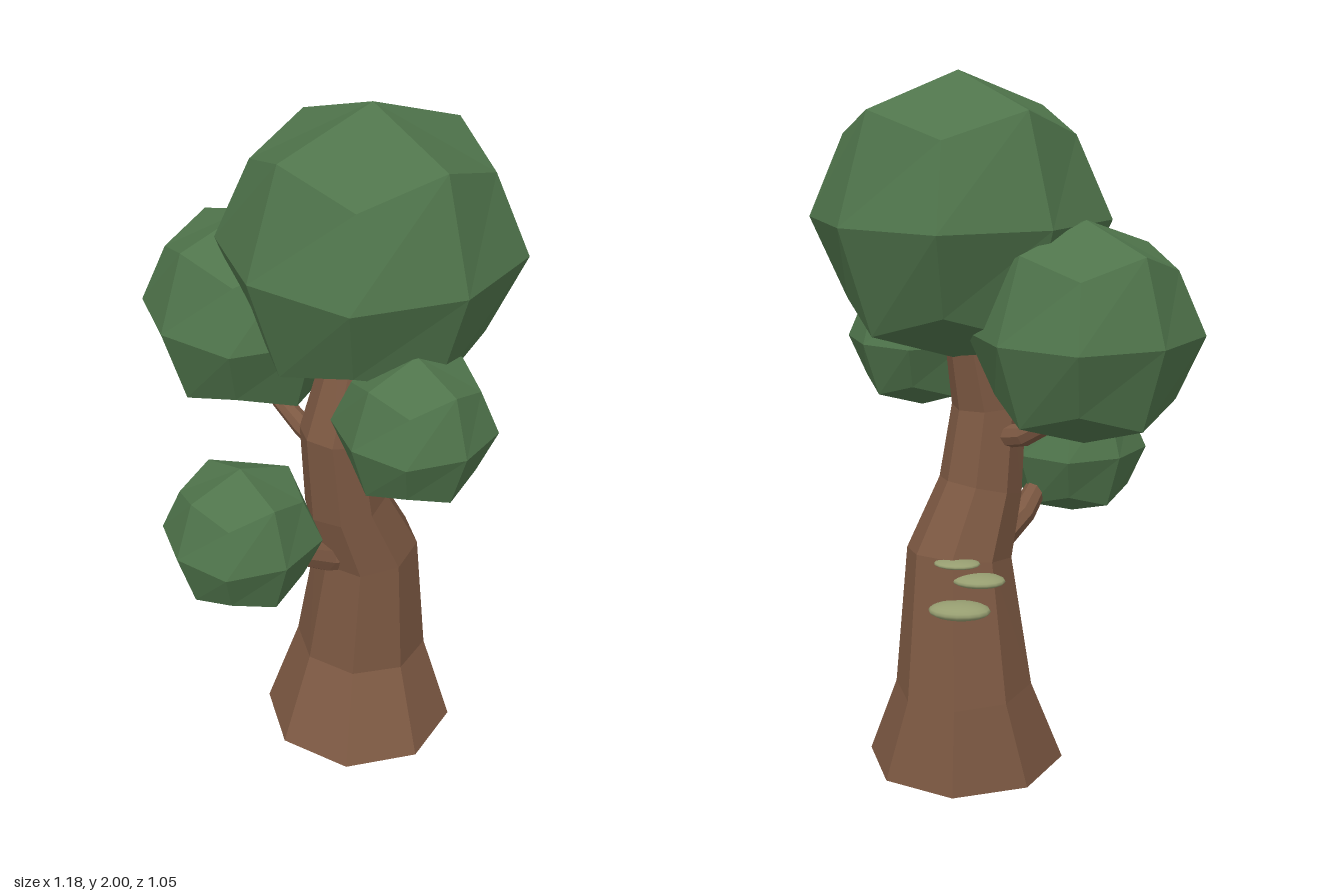
import * as THREE from 'three';

const foliage = new THREE.MeshStandardMaterial({ color: 0x4f744b, flatShading: true });
foliage.name = 'leaf green';
const bark = new THREE.MeshStandardMaterial({ color: 0x7c5842, flatShading: true, side: THREE.DoubleSide });
bark.name = 'bark brown';
const fungus = new THREE.MeshStandardMaterial({ color: 0x969d70 });
fungus.name = 'fungus olive';

// Tapered limb through rings of [x, y, z, radius]; each ring is square to the path
function limb(rings, sides, startDir, reference) {
  const centres = rings.map(([x, y, z]) => new THREE.Vector3(x, y, z));
  const positions = [];
  const indices = [];
  rings.forEach((ring, i) => {
    const before = centres[Math.max(i - 1, 0)];
    const after = centres[Math.min(i + 1, rings.length - 1)];
    const t = i === 0 ? startDir.clone().normalize() : after.clone().sub(before).normalize();
    const u = reference.clone().addScaledVector(t, -reference.dot(t)).normalize();
    const v = t.clone().cross(u);
    for (let j = 0; j < sides; j++) {
      const a = (j / sides) * Math.PI * 2;
      const p = centres[i].clone()
        .addScaledVector(u, Math.cos(a) * ring[3])
        .addScaledVector(v, Math.sin(a) * ring[3]);
      positions.push(p.x, p.y, p.z);
      if (i < rings.length - 1) {
        const k = i * sides + j;
        const n = i * sides + (j + 1) % sides;
        indices.push(k, n, k + sides, n, n + sides, k + sides);
      }
    }
  });
  const geometry = new THREE.BufferGeometry();
  geometry.setAttribute('position', new THREE.Float32BufferAttribute(positions, 3));
  geometry.setIndex(indices);
  geometry.computeVertexNormals();
  return geometry;
}

// Cube of 2 x 2 quads per side, with edges and corners pulled in to a rounded clump
function clumpGeometry() {
  const geometry = new THREE.BoxGeometry(2, 2, 2, 2, 2, 2);
  const pos = geometry.attributes.position;
  const pull = [1, 1, 0.752, 0.572];
  for (let i = 0; i < pos.count; i++) {
    const p = new THREE.Vector3().fromBufferAttribute(pos, i).round();
    p.multiplyScalar(pull[Math.abs(p.x) + Math.abs(p.y) + Math.abs(p.z)]);
    pos.setXYZ(i, p.x, p.y, p.z);
  }
  geometry.computeVertexNormals();
  return geometry;
}

export function createModel() {
  const tree = new THREE.Group();
  tree.name = 'tree';
  const add = (name, geometry, material) => {
    const mesh = new THREE.Mesh(geometry, material);
    mesh.name = name;
    tree.add(mesh);
    return mesh;
  };
  const X = new THREE.Vector3(1, 0, 0);
  const Y = new THREE.Vector3(0, 1, 0);

  // Bent trunk, flared and open at the foot
  add('trunk', limb([
    [0.08, 0, -0.127, 0.29],
    [0.045, 0.25, -0.16, 0.2],
    [0.08, 0.64, -0.145, 0.153],
    [0.08, 0.83, -0.065, 0.122],
    [0.083, 1.07, -0.03, 0.108],
    [0.082, 1.4, -0.11, 0.075],
  ], 8, Y, X), bark);

  // Branches reaching into the side clumps
  add('rightBranch', limb([
    [0.03, 0.98, -0.04, 0.036],
    [-0.08, 1.005, -0.03, 0.032],
    [-0.17, 1.055, -0.015, 0.027],
    [-0.27, 1.17, 0, 0.022],
  ], 8, new THREE.Vector3(-1, 0.1, 0), Y), bark);
  add('frontBranch', limb([
    [0.085, 0.635, -0.06, 0.05],
    [0.085, 0.655, 0.01, 0.046],
    [0.09, 0.71, 0.105, 0.038],
    [0.1, 0.78, 0.17, 0.032],
    [0.107, 0.86, 0.25, 0.025],
  ], 8, new THREE.Vector3(0, 0.2, 1), X), bark);
  add('leftBranch', limb([
    [0.12, 1.11, -0.04, 0.026],
    [0.2, 1.14, -0.045, 0.023],
    [0.34, 1.21, -0.055, 0.018],
  ], 8, new THREE.Vector3(1, 0.3, 0), Y), bark);

  // Foliage clumps: centre and radius
  const clump = clumpGeometry();
  [
    ['crownFoliage', 0.08, 1.605, -0.132, 0.395],
    ['rightFoliage', -0.29, 1.32, 0.004, 0.301],
    ['leftFoliage', 0.378, 1.222, -0.055, 0.208],
    ['frontFoliage', 0.107, 0.88, 0.315, 0.21],
  ].forEach(([name, x, y, z, r]) => {
    const mesh = add(name, clump, foliage);
    mesh.position.set(x, y, z);
    mesh.scale.setScalar(r);
  });

  // Shelf fungi on the back right of the trunk: centre, half width, half height, half depth
  const shelf = new THREE.SphereGeometry(1, 16, 10);
  [
    ['lowerFungus', -0.075, 0.535, -0.262, 0.088, 0.024, 0.055],
    ['middleFungus', -0.073, 0.607, -0.192, 0.076, 0.018, 0.05],
    ['upperFungus', -0.03, 0.655, -0.235, 0.066, 0.012, 0.042],
  ].forEach(([name, x, y, z, w, h, d]) => {
    const mesh = add(name, shelf, fungus);
    mesh.position.set(x, y, z);
    mesh.scale.set(w, h, d);
    mesh.rotation.y = Math.PI / 4;
  });

  return tree;
}
